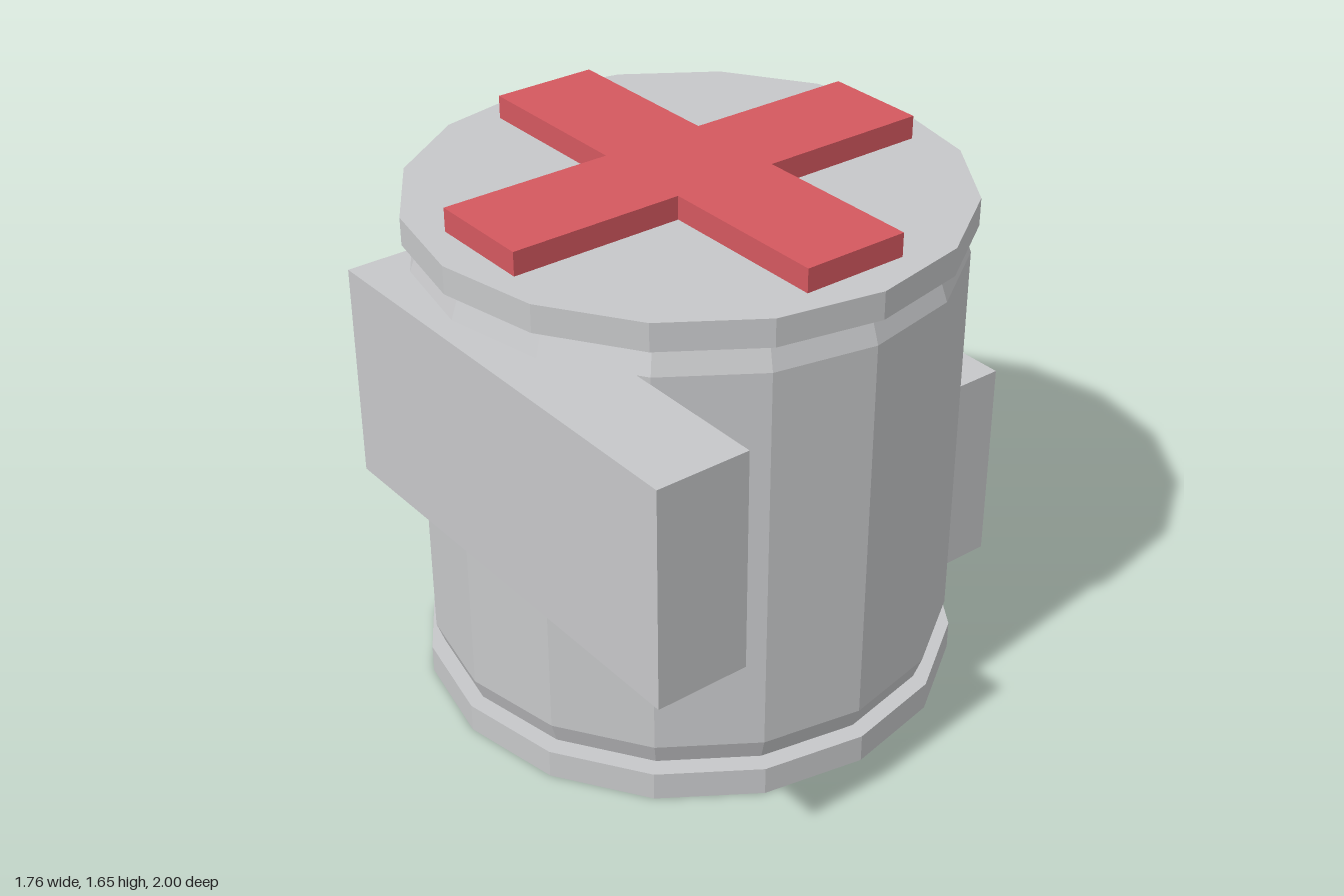
import * as THREE from 'three';

const SIDES = 16;

export function createModel() {
  const model = new THREE.Group();
  model.name = 'medicalCanister';

  const grey = new THREE.MeshStandardMaterial({ color: 0xc6c7c9 });
  grey.name = 'light grey';
  const red = new THREE.MeshStandardMaterial({ color: 0xd4585f });
  red.name = 'red';

  const add = (name, geometry, material, x = 0, y = 0, z = 0) => {
    const flat = geometry.index ? geometry.toNonIndexed() : geometry;
    flat.computeVertexNormals(); // faceted look
    const mesh = new THREE.Mesh(flat, material);
    mesh.name = name;
    mesh.position.set(x, y, z);
    model.add(mesh);
  };

  // Drum with chamfered shoulders
  const profile = [
    [0.74, 0.08], [0.74, 0.09], [0.785, 0.105], [0.81, 0.175],
    [0.81, 1.405], [0.785, 1.475], [0.74, 1.49], [0.74, 1.5],
  ].map(([r, y]) => new THREE.Vector2(r, y));
  add('drum', new THREE.LatheGeometry(profile, SIDES), grey);

  // Base plate and lid
  const disc = (h) => new THREE.CylinderGeometry(0.828, 0.828, h, SIDES);
  add('basePlate', disc(0.09), grey, 0, 0.045);
  add('lid', disc(0.085), grey, 0, 1.5325);

  // Side bars, one low towards the back and one high towards the front
  const bar = () => new THREE.BoxGeometry(0.285, 0.663, 1.425);
  add('leftBar', bar(), grey, 0.7375, 0.502, -0.2875);
  add('rightBar', bar(), grey, -0.7375, 1.074, 0.2875);

  // Raised cross on the lid
  const a = 0.167, b = 0.712;
  const outline = [
    [a, a], [a, b], [-a, b], [-a, a], [-b, a], [-b, -a],
    [-a, -a], [-a, -b], [a, -b], [a, -a], [b, -a], [b, a],
  ].map(([x, y]) => new THREE.Vector2(x, y));
  const cross = new THREE.ExtrudeGeometry(new THREE.Shape(outline), { depth: 0.072, bevelEnabled: false });
  cross.rotateX(-Math.PI / 2);
  add('cross', cross, red, 0, 1.575);

  return model;
}
